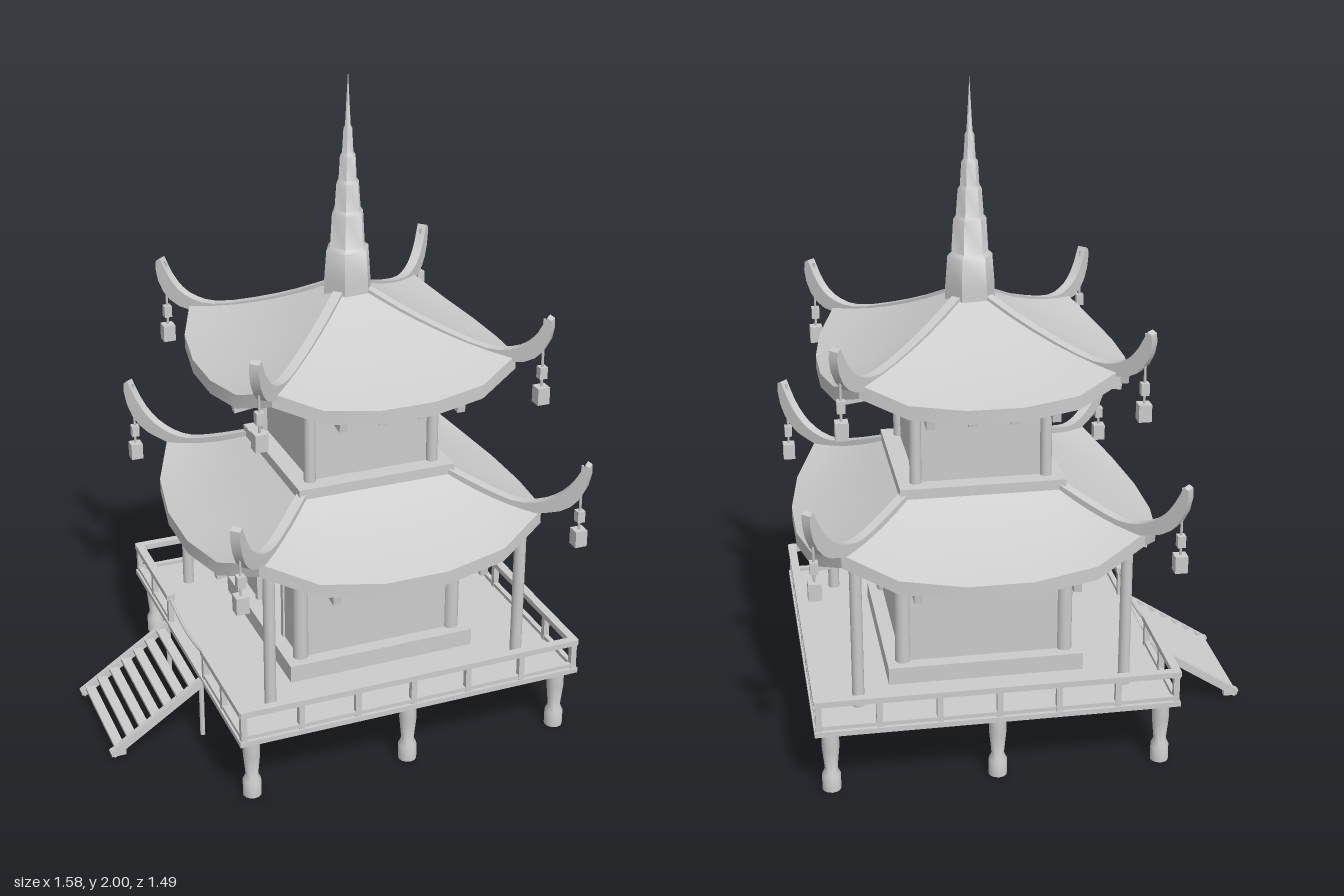
import * as THREE from 'three';
import { toCreasedNormals } from 'three/addons/utils/BufferGeometryUtils.js';

const mat = new THREE.MeshStandardMaterial({ color: 0xcccccc, side: THREE.DoubleSide });

function add(parent, name, geo, x = 0, y = 0, z = 0) {
  const m = new THREE.Mesh(geo, mat);
  m.name = name;
  m.position.set(x, y, z);
  parent.add(m);
  return m;
}
const box = (p, name, w, h, d, x, y, z) => add(p, name, new THREE.BoxGeometry(w, h, d), x, y, z);
const post = (p, name, r, y0, y1, x, z, n = 12) =>
  add(p, name, new THREE.CylinderGeometry(r, r, y1 - y0, n), x, (y0 + y1) / 2, z);
const lathe = (pts, n) => toCreasedNormals(
  new THREE.LatheGeometry(pts.map(p => new THREE.Vector2(...p)), n), 0.9);

// Box spanning two points in a plane of constant x
function beam(p, name, w, h, x, z0, y0, z1, y1) {
  const m = box(p, name, w, h, Math.hypot(z1 - z0, y1 - y0), x, (y0 + y1) / 2, (z0 + z1) / 2);
  m.rotation.x = -Math.atan2(y1 - y0, z1 - z0);
  return m;
}

// Four sides of the square plan; each is modelled facing +z
function eachSide(parent, name, build) {
  for (let k = 0; k < 4; k++) {
    const g = new THREE.Group();
    g.name = name;
    g.rotation.y = k * Math.PI / 2;
    parent.add(g);
    build(g, k);
  }
}
const corners = (a, fn) => [-a, a].forEach(x => [-a, a].forEach(z => fn(x, z)));

// One roof slope: bulging eave with raised corners, sagging surface, fascia and underside
function slopeGeometry({ top, topY, eave, bulge, cornerY, midY, sag, thick }) {
  const us = [-1, -0.65, -0.22, 0.22, 0.65, 1];
  const out = [0, 0.7, 1, 1, 0.7, 0];
  const drop = [0, 0.76, 1, 1, 0.76, 0];
  const steps = 6, rows = [];
  for (let i = 0; i <= steps; i++) rows.push([i / steps, 0]);
  for (let i = steps; i >= 0; i--) rows.push([i / steps, thick]);
  const pos = [], idx = [], n = us.length;
  rows.forEach(([v, t], r) => us.forEach((u, i) => {
    const edgeY = cornerY + (midY - cornerY) * drop[i];
    const half = THREE.MathUtils.lerp(top, eave, v);
    pos.push(u * half, THREE.MathUtils.lerp(topY, edgeY, v) - sag * 4 * v * (1 - v) - t,
      half + out[i] * bulge * v);
    if (r && i) {
      const d = r * n + i, c = d - 1, b = d - n, a = b - 1;
      idx.push(a, c, b, b, c, d);
    }
  }));
  const g = new THREE.BufferGeometry();
  g.setAttribute('position', new THREE.Float32BufferAttribute(pos, 3));
  g.setIndex(idx);
  return toCreasedNormals(g, 0.6);
}

// Upswept hip ridge; pts are [half-width of plan, height] along the diagonal
function ridgeGeometry(pts) {
  const curve = new THREE.SplineCurve(pts.map(([d, y]) => new THREE.Vector2(d * Math.SQRT2, y)));
  const N = 14, upper = [], lower = [];
  for (let i = 0; i <= N; i++) {
    const p = curve.getPoint(i / N), t = curve.getTangent(i / N);
    const h = i / N < 0.55 ? 0.036 : 0.036 + 0.022 * Math.sin((i / N - 0.55) / 0.45 * Math.PI) - 0.02 * (i / N - 0.55) / 0.45;
    upper.push(p);
    lower.unshift(new THREE.Vector2(p.x + t.y * h, p.y - t.x * h));
  }
  const g = new THREE.ExtrudeGeometry(new THREE.Shape([...upper, ...lower]), { depth: 0.03, bevelEnabled: false });
  g.translate(0, 0, -0.015);
  return toCreasedNormals(g, 0.5);
}

function buildRoof(parent, name, o) {
  const roof = new THREE.Group();
  roof.name = name;
  parent.add(roof);
  const slope = slopeGeometry(o), ridge = ridgeGeometry(o.ridge);
  const [tip, tipY] = o.ridge[o.ridge.length - 1];
  const gap = o.wall * 0.62;
  const swag = new THREE.Shape();
  swag.moveTo(-gap / 2, 0.02);
  swag.quadraticCurveTo(0, -0.05, gap / 2, 0.02);
  swag.lineTo(gap / 2, 0.035);
  swag.quadraticCurveTo(0, -0.01, -gap / 2, 0.035);
  const swagGeo = new THREE.ExtrudeGeometry(swag, { depth: 0.012, bevelEnabled: false });

  eachSide(roof, name + 'Side', g => {
    add(g, 'roofSlope', slope);
    add(g, 'hipRidge', ridge).rotation.y = -Math.PI / 4;
    // Rafters, tie beam and scalloped braces under the eave
    const y = o.midY - o.thick, reach = o.eave + o.bulge * 0.6, tie = o.wall + 0.1;
    for (let i = 0; i < 4; i++)
      beam(g, 'rafter', 0.024, 0.034, (i - 1.5) * gap, o.wall, y + 0.025, reach, y - 0.005);
    box(g, 'tieBeam', tie * 2, 0.025, 0.022, 0, y + 0.02, tie);
    for (let i = -1; i <= 1; i++) {
      add(g, 'scallopBrace', swagGeo, i * gap, y - 0.01, tie - 0.02);
      add(g, 'scallopBrace', swagGeo, i * gap, y - 0.005, reach - 0.06);
    }
    // Lantern hung from the corner tip
    const l = tip - 0.008;
    post(g, 'lanternCord', 0.004, tipY - 0.23, tipY - 0.01, l, l, 6);
    box(g, 'lanternCap', 0.024, 0.036, 0.024, l, tipY - 0.175, l);
    box(g, 'lantern', 0.038, 0.052, 0.038, l, tipY - 0.245, l);
  });
}

export function createModel() {
  const model = new THREE.Group();
  model.name = 'pagoda';
  const b = new THREE.Group();
  b.name = 'building';
  b.position.x = 0.0425;
  b.rotation.y = 0.48;
  model.add(b);

  // Raised deck on turned legs
  box(b, 'deck', 1.09, 0.016, 1.09, 0, 0.208, 0);
  const leg = lathe([[0, 0], [0.028, 0], [0.028, 0.05], [0.019, 0.07], [0.026, 0.14], [0.026, 0.2]], 12);
  for (let i = -1; i <= 1; i++) for (let j = -1; j <= 1; j++)
    if ((i || j) && !(i === -1 && j === 0)) add(b, 'deckLeg', leg, i * 0.497, 0, j * 0.497);

  // Railing, open at the stairs on the -x side
  const R = 0.532, gate = 0.18;
  eachSide(b, 'railing', (g, k) => {
    const spans = k === 3 ? [[-R, -gate], [gate, R]] : [[-R, R]];
    for (const [a, c] of spans) {
      box(g, 'topRail', c - a + 0.02, 0.018, 0.026, (a + c) / 2, 0.306, R);
      box(g, 'bottomRail', c - a, 0.012, 0.016, (a + c) / 2, 0.226, R);
      const n = k === 3 ? 2 : 6;
      for (let i = 0; i <= n; i++)
        box(g, 'railPost', 0.018, 0.09, 0.018, a + (c - a) * i / n, 0.257, R);
    }
  });
  const rope = new THREE.QuadraticBezierCurve3(new THREE.Vector3(-R, 0.3, -gate),
    new THREE.Vector3(-R, 0.245, 0), new THREE.Vector3(-R, 0.3, gate));
  add(b, 'gateRope', new THREE.TubeGeometry(rope, 12, 0.005, 6));

  // Stairs
  const run = 0.29, rise = 0.19;
  for (const z of [-gate, gate]) {
    const s = box(b, 'stairStringer', Math.hypot(run, rise), 0.024, 0.02, -0.69, 0.112, z);
    s.rotation.z = Math.atan2(rise, run);
    box(b, 'stringerFoot', 0.045, 0.02, 0.02, -0.815, 0.022, z);
    post(b, 'stairPost', 0.008, 0.012, 0.2, -0.545, z * 0.96, 8);
  }
  for (let i = 0; i < 7; i++)
    box(b, 'stairTread', 0.03, 0.01, gate * 2, -0.81 + i * 0.04, 0.036 + i * 0.0262, 0);

  // Lower storey with a doorway facing the stairs
  box(b, 'plinth', 0.6, 0.055, 0.6, 0, 0.243, 0);
  const w = 0.25;
  eachSide(b, 'lowerWall', (g, k) => {
    if (k !== 3) return box(g, 'wallPanel', w * 2, 0.43, 0.012, 0, 0.485, w);
    for (const s of [-1, 1]) {
      box(g, 'doorSidePanel', 0.13, 0.43, 0.012, s * 0.185, 0.485, w);
      box(g, 'doorJamb', 0.018, 0.3, 0.024, s * 0.12, 0.42, w);
    }
    box(g, 'doorLintel', 0.258, 0.13, 0.02, 0, 0.635, w);
  });
  corners(w, (x, z) => post(b, 'lowerCornerPost', 0.024, 0.27, 0.7, x, z));
  corners(0.403, (x, z) => post(b, 'verandaColumn', 0.018, 0.21, 0.72, x, z));
  buildRoof(b, 'lowerRoof', {
    top: 0.25, topY: 0.8, eave: 0.445, bulge: 0.105, cornerY: 0.73, midY: 0.65, sag: 0.012,
    thick: 0.042, wall: w,
    ridge: [[0.24, 0.815], [0.33, 0.772], [0.4, 0.752], [0.46, 0.775], [0.505, 0.83], [0.537, 0.912]],
  });

  // Upper storey
  box(b, 'upperBase', 0.5, 0.04, 0.5, 0, 0.812, 0);
  box(b, 'upperWalls', 0.39, 0.42, 0.39, 0, 1.03, 0);
  corners(0.197, (x, z) => post(b, 'upperCornerPost', 0.018, 0.82, 1.22, x, z));
  buildRoof(b, 'upperRoof', {
    top: 0.06, topY: 1.345, eave: 0.375, bulge: 0.085, cornerY: 1.215, midY: 1.15, sag: 0.018,
    thick: 0.042, wall: 0.195,
    ridge: [[0.05, 1.355], [0.16, 1.29], [0.3, 1.232], [0.37, 1.238], [0.412, 1.28], [0.44, 1.35]],
  });

  // Stepped six-sided spire
  const spire = lathe([[0.077, 1.3], [0.075, 1.38], [0.068, 1.47], [0.056, 1.48], [0.05, 1.58], [0.042, 1.59],
    [0.036, 1.67], [0.029, 1.68], [0.025, 1.75], [0.018, 1.76], [0.014, 1.83], [0.009, 1.84], [0, 2]], 6);
  add(b, 'spire', spire).rotation.y = -0.48;
  return model;
}
